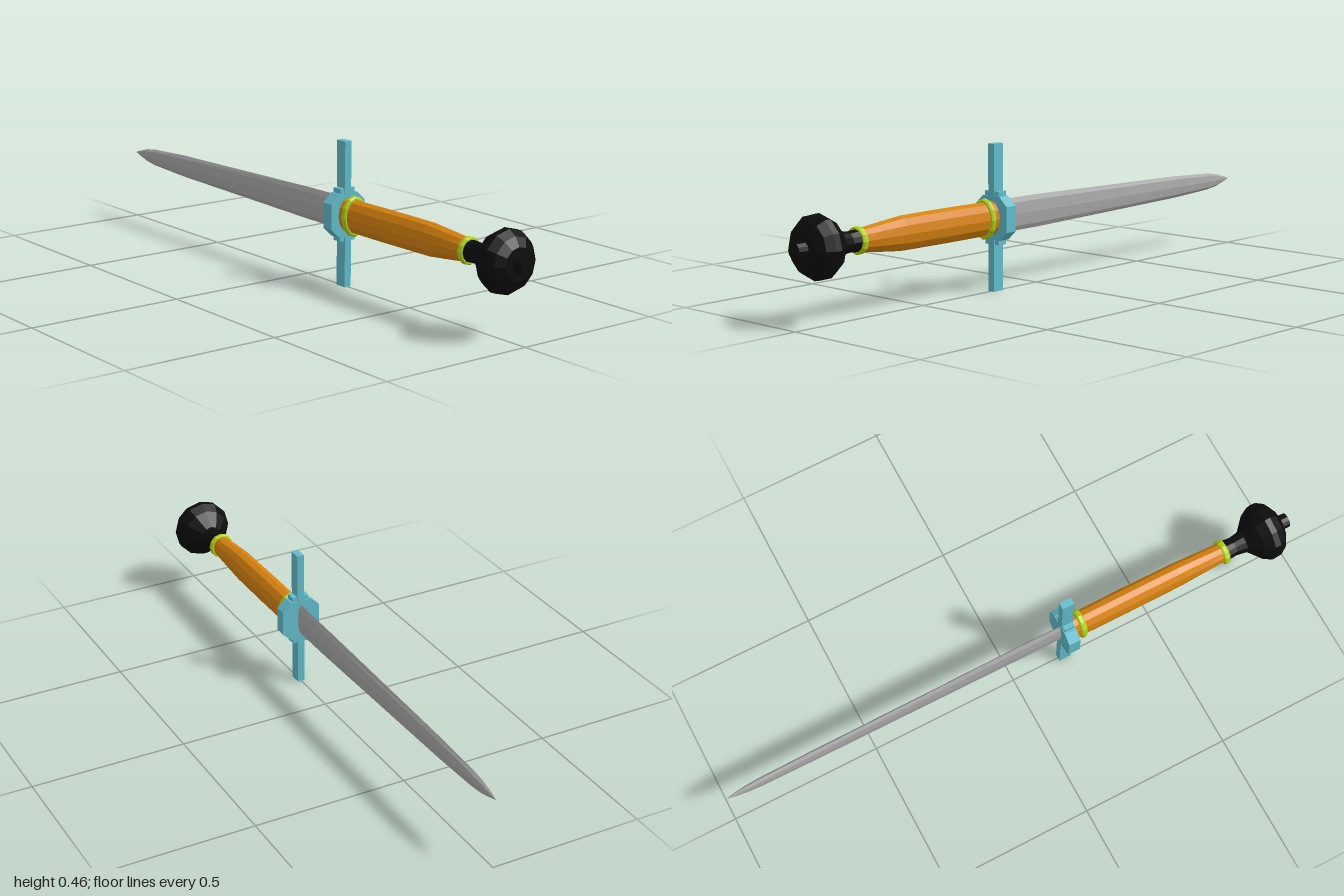
import * as THREE from 'three';

const AXIS_Y = 0.228; // height of the dagger's long axis
const mat = (color) => new THREE.MeshStandardMaterial({ color, flatShading: true });

// Faceted solid along x from sections [x, half height, half depth]
function loft(sections, sides) {
  const pos = [], index = [];
  sections.forEach(([x, ry, rz], i) => {
    for (let j = 0; j < sides; j++) {
      const a = (j / sides) * Math.PI * 2;
      pos.push(x, ry * Math.cos(a), rz * Math.sin(a));
      if (i === 0) continue;
      const k = (j + 1) % sides, p = (i - 1) * sides, q = i * sides;
      index.push(p + j, p + k, q + j, p + k, q + k, q + j);
    }
  });
  const geo = new THREE.BufferGeometry();
  geo.setAttribute('position', new THREE.Float32BufferAttribute(pos, 3));
  geo.setIndex(index);
  geo.computeVertexNormals();
  return geo;
}

// Prism across x from an outline of [z, y] points
function slab(points, x0, x1) {
  const shape = new THREE.Shape(points.map(([z, y]) => new THREE.Vector2(-z, y)));
  const geo = new THREE.ExtrudeGeometry(shape, { depth: x1 - x0, bevelEnabled: false });
  return geo.rotateY(Math.PI / 2).translate(x0, 0, 0);
}

export function createModel() {
  const dagger = new THREE.Group();
  dagger.name = 'dagger';
  const steel = mat(0xa8a8a8), teal = mat(0x62bccb), wood = mat(0xd6820f);
  const lime = mat(0xb4d21a), black = mat(0x0c0c0c);
  const add = (name, geo, material) => {
    const mesh = new THREE.Mesh(geo, material);
    mesh.name = name;
    mesh.position.y = AXIS_Y;
    dagger.add(mesh);
    return mesh;
  };

  // Slim tapering blade
  add('blade', loft([
    [-1, 0, 0], [-0.98, 0.007, 0.004], [-0.93, 0.021, 0.009], [-0.88, 0.028, 0.011],
    [-0.7, 0.037, 0.011], [0, 0.052, 0.011], [0.18, 0.053, 0.011], [0.18, 0, 0],
  ], 8), steel);

  // Guard: chamfered block with two arms, each on a small collar
  add('guardBlock', slab([
    [0.065, -0.04], [0.065, 0.04], [0.035, 0.068], [-0.035, 0.068],
    [-0.065, 0.04], [-0.065, -0.04], [-0.035, -0.068], [0.035, -0.068],
  ], 0.165, 0.205), teal);
  for (const [side, s] of [['upper', 1], ['lower', -1]]) {
    add(side + 'GuardCollar', new THREE.BoxGeometry(0.034, 0.018, 0.056)
      .translate(0.185, s * 0.074, 0), teal);
    add(side + 'GuardArm', new THREE.BoxGeometry(0.04, 0.17, 0.024)
      .translate(0.185, s * 0.145, 0), teal);
  }

  // Oval grip narrowing toward the pommel
  add('grip', loft([
    [0.2, 0, 0], [0.2, 0.053, 0.037], [0.4, 0.054, 0.038], [0.59, 0.053, 0.037],
    [0.68, 0.044, 0.034], [0.77, 0.034, 0.031], [0.77, 0, 0],
  ], 12), wood);

  // Rings at both ends of the grip
  const ring = (name, x, ry, rz) => add(name, loft([
    [x - 0.01, 0, 0], [x - 0.01, ry * 0.92, rz * 0.92], [x - 0.005, ry, rz],
    [x + 0.005, ry, rz], [x + 0.01, ry * 0.92, rz * 0.92], [x + 0.01, 0, 0],
  ], 12), lime);
  ring('guardRing', 0.235, 0.064, 0.046);
  ring('pommelRing', 0.76, 0.042, 0.041);

  // Round pommel on a flared neck, with an end button
  add('pommel', loft([
    [0.765, 0], [0.765, 0.034], [0.8, 0.031], [0.835, 0.037], [0.855, 0.058],
    [0.875, 0.08], [0.905, 0.097], [0.925, 0.096], [0.95, 0.08], [0.967, 0.052],
    [0.967, 0.025], [1, 0.024], [1, 0],
  ].map(([x, r]) => [x, r, r]), 12), black);

  return dagger;
}
